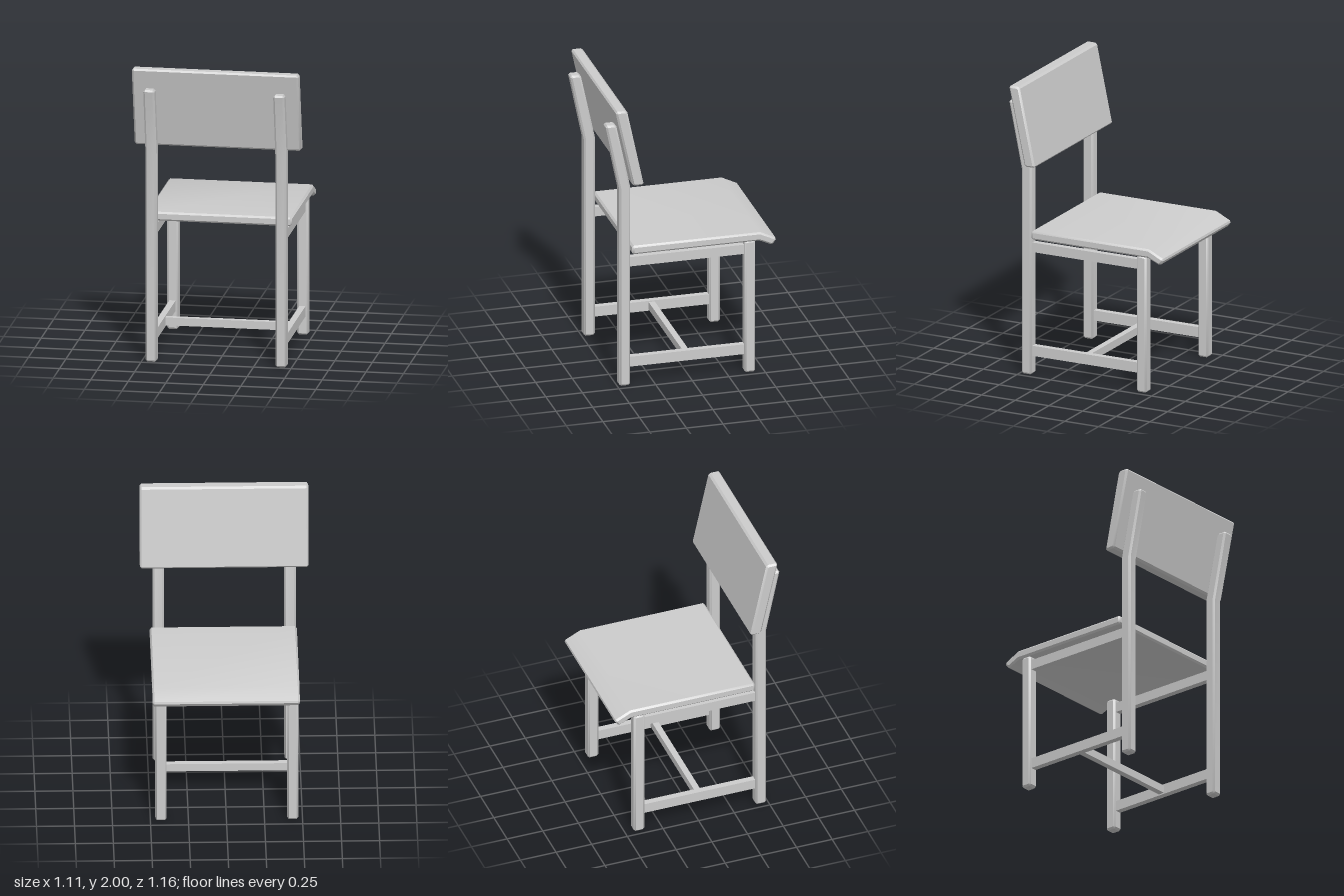
import * as THREE from 'three';
import { toCreasedNormals } from 'three/addons/utils/BufferGeometryUtils.js';

const material = new THREE.MeshStandardMaterial({ color: 0xcccccc });
const BEVEL = 0.012;

// Cuts the corners of a side profile [z, y]; points flagged with a third value stay as plain bends.
function chamferProfile(points) {
  const out = [];
  points.forEach(([z, y, bend], i) => {
    const p = new THREE.Vector2(z, y);
    if (bend) { out.push(p); return; }
    for (const j of [i + points.length - 1, i + 1]) {
      const n = points[j % points.length];
      const dir = new THREE.Vector2(n[0] - z, n[1] - y).normalize();
      out.push(p.clone().addScaledVector(dir, BEVEL));
    }
  });
  return out;
}

// Extrudes a side profile across x with chamfered edges.
function board(name, profile, width, x) {
  const shape = new THREE.Shape(chamferProfile(profile));
  const depth = width - 2 * BEVEL;
  let geometry = new THREE.ExtrudeGeometry(shape, {
    depth, bevelEnabled: true, bevelThickness: BEVEL, bevelSize: BEVEL,
    bevelOffset: -BEVEL, bevelSegments: 1, steps: 1,
  });
  geometry.translate(0, 0, -depth / 2);
  geometry.rotateY(-Math.PI / 2);
  geometry = toCreasedNormals(geometry, 0.6);
  const mesh = new THREE.Mesh(geometry, material);
  mesh.name = name;
  mesh.position.x = x;
  return mesh;
}

// Plain rectangular bar.
function bar(name, size, position) {
  const mesh = new THREE.Mesh(new THREE.BoxGeometry(...size), material);
  mesh.name = name;
  mesh.position.set(...position);
  return mesh;
}

export function createModel() {
  const chair = new THREE.Group();
  chair.name = 'chair';

  const frontLeg = [[-0.441, 0], [-0.367, 0], [-0.367, 0.94], [-0.441, 0.94]];
  const backPost = [
    [0.412, 0], [0.487, 0], [0.487, 1.408, true],
    [0.582, 1.87], [0.509, 1.87], [0.412, 1.418, true],
  ];

  // Legs and side rails, one set per side
  for (const [side, s] of [['left', 1], ['right', -1]]) {
    const x = s * 0.433 - 0.003;
    chair.add(
      board(`${side}FrontLeg`, frontLeg, 0.075, x),
      board(`${side}BackPost`, backPost, 0.075, x),
      bar(`${side}SeatRail`, [0.042, 0.066, 0.78], [x, 0.877, 0.0225]),
      bar(`${side}LowerRail`, [0.042, 0.07, 0.78], [x, 0.163, 0.0225]),
    );
  }

  // Cross stretcher between the lower rails
  chair.add(bar('crossStretcher', [0.83, 0.053, 0.042], [-0.003, 0.163, 0.0225]));

  // Seat with a lip bent down at its leading edge
  chair.add(board('seat', [
    [0.405, 0.94], [0.405, 1.0], [-0.468, 1.0, true],
    [-0.583, 0.944], [-0.551, 0.9], [-0.462, 0.94, true],
  ], 0.968, 0.004));

  // Leaning back panel
  chair.add(board('backPanel', [
    [0.343, 1.458], [0.419, 1.458], [0.537, 2.0], [0.458, 2.0],
  ], 1.11, -0.002));

  return chair;
}
